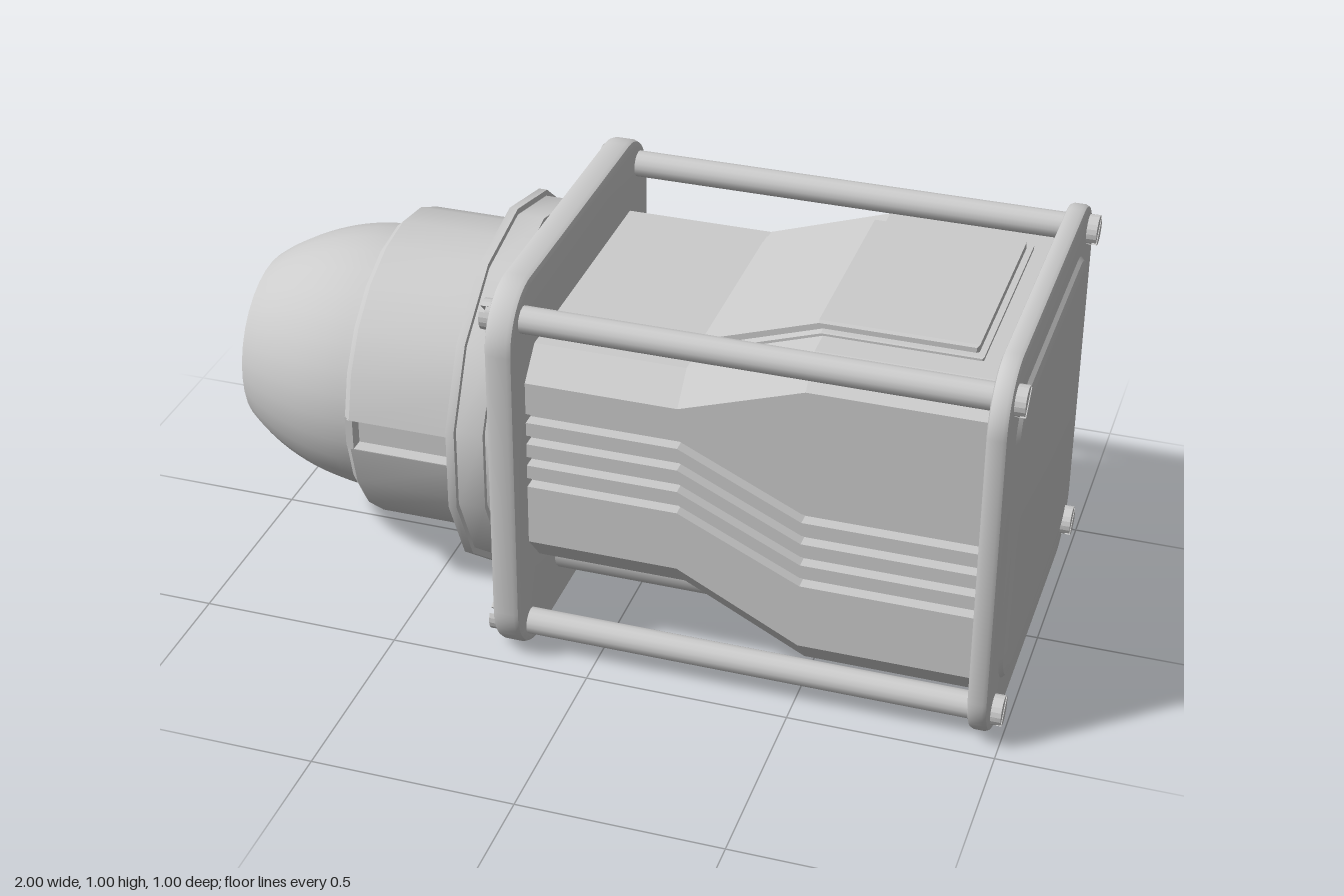
import * as THREE from 'three';
import { toCreasedNormals } from 'three/addons/utils/BufferGeometryUtils.js';

const MID = 0.5, ROD = 0.42;

export function createModel() {
  const model = new THREE.Group();
  const grey = new THREE.MeshStandardMaterial({ color: 0xcccccc, side: THREE.DoubleSide });

  function add(name, geometry, parent = model) {
    const mesh = new THREE.Mesh(geometry, grey);
    mesh.name = name;
    parent.add(mesh);
    return mesh;
  }

  function roundedSquare(half, r) {
    const s = new THREE.Shape(), c = half - r;
    s.absarc(c, c, r, 0, Math.PI / 2);
    s.absarc(-c, c, r, Math.PI / 2, Math.PI);
    s.absarc(-c, -c, r, Math.PI, Math.PI * 1.5);
    s.absarc(c, -c, r, Math.PI * 1.5, Math.PI * 2);
    s.closePath();
    return s;
  }

  // Square slab lying across the x axis, from x0 to x1, with bevelled rims
  function slab(name, half, r, x0, x1, bevel, bevelDepth) {
    const g = new THREE.ExtrudeGeometry(roundedSquare(half - bevel, r), {
      depth: x1 - x0 - 2 * bevelDepth, bevelSize: bevel, bevelThickness: bevelDepth,
      bevelSegments: 2, curveSegments: 6,
    });
    g.translate(0, 0, bevelDepth).rotateY(Math.PI / 2).translate(x0, MID, 0);
    add(name, toCreasedNormals(g, 0.5));
  }
  slab('endPlate', 0.5, 0.13, 0.925, 0.975, 0.014, 0.012);
  slab('endPanel', 0.4, 0.08, 0.945, 0.988, 0.034, 0.014);
  slab('frontPlate', 0.5, 0.13, -0.24, -0.17, 0.014, 0.014);

  // Bar along x
  function bar(name, r, x0, x1, y, z, sides = 16) {
    const g = new THREE.CylinderGeometry(r, r, x1 - x0, sides);
    g.rotateZ(Math.PI / 2).translate((x0 + x1) / 2, y, z);
    add(name, g);
  }

  // Slotted screw: a thin disc under two half heads; direction +1 faces +x
  function screw(x, y, z, direction) {
    const group = new THREE.Group();
    group.name = 'screw';
    const r = 0.037, a = 0.2;
    const base = add('screwBase', new THREE.CylinderGeometry(r, r, 0.012, 8), group);
    base.rotation.x = Math.PI / 2;
    base.position.z = 0.006;
    for (const turn of [0, Math.PI]) {
      const half = new THREE.Shape();
      half.absarc(0, 0, r, turn + a, turn + Math.PI - a);
      half.closePath();
      add('screwHalf', new THREE.ExtrudeGeometry(half, { depth: 0.025, bevelEnabled: false, curveSegments: 4 }), group);
    }
    group.rotation.set(0, direction * Math.PI / 2, Math.PI / 4, 'YXZ');
    group.position.set(x, y, z);
    model.add(group);
  }

  // Tie rods and their screws at the four corners
  for (const sy of [-1, 1]) for (const sz of [-1, 1]) {
    const y = MID + sy * ROD, z = sz * ROD;
    bar('tieRod', 0.033, -0.2, 0.95, y, z);
    screw(0.975, y, z, 1);
    screw(-0.24, y, z, -1);
  }

  // Two pipes below the raised part of the body
  for (const z of [-0.18, 0.18]) bar('lowerPipe', 0.065, -0.2, 0.5, 0.158, z, 20);

  // Body: chamfered cross-section with four side grooves, swept along x
  const stations = [
    { x: -0.18, bottom: 0.23, top: 0.82, drop: 0 },
    { x: 0.2, bottom: 0.23, top: 0.82, drop: 0 },
    { x: 0.5, bottom: 0.075, top: 0.92, drop: 0.142 },
    { x: 0.93, bottom: 0.075, top: 0.92, drop: 0.142 },
  ];
  function section({ x, bottom, top, drop }) {
    const side = [[0.35, bottom], [0.42, bottom + 0.08]];
    for (let i = 0; i < 4; i++) {
      const y = 0.478 + i * 0.059 - drop, h = 0.012;
      side.push([0.42, y - h], [0.388, y - h], [0.388, y + h], [0.42, y + h]);
    }
    side.push([0.42, top - 0.07], [0.35, top]);
    const mirrored = side.map(([z, y]) => [-z, y]).reverse();
    return [...side, ...mirrored].map(([z, y]) => [x, y, z]);
  }
  const loops = stations.map(section), verts = [];
  for (let i = 0; i < loops.length - 1; i++) {
    const p = loops[i], q = loops[i + 1], n = p.length;
    for (let j = 0; j < n; j++) {
      const k = (j + 1) % n;
      verts.push(...p[j], ...q[j], ...q[k], ...p[j], ...q[k], ...p[k]);
    }
  }
  const body = new THREE.BufferGeometry();
  body.setAttribute('position', new THREE.Float32BufferAttribute(verts, 3));
  body.computeVertexNormals();
  add('body', body);

  // Hatch on top that follows the bend of the body
  function hatch(name, x0, x1, halfWidth, lift, bevel) {
    const slope = 1 / 3, bend = 0.5 - lift * 0.5;
    const topAt = x => 0.82 + (Math.min(x, bend) - 0.2) * slope + lift;
    const s = new THREE.Shape();
    s.moveTo(x0, topAt(x0) - lift - 0.02);
    s.lineTo(x1, 0.88);
    s.lineTo(x1, topAt(x1));
    s.lineTo(bend, topAt(bend));
    s.lineTo(x0, topAt(x0));
    s.closePath();
    const g = new THREE.ExtrudeGeometry(s, {
      depth: 2 * (halfWidth - bevel), bevelSize: bevel, bevelThickness: bevel, bevelOffset: -bevel, bevelSegments: 1,
    });
    add(name, g.translate(0, 0, bevel - halfWidth));
  }
  hatch('hatchFrame', 0.2, 0.87, 0.28, 0.01, 0.003);
  hatch('hatchLid', 0.215, 0.855, 0.262, 0.032, 0.006);

  // Turned parts: profile points are [x, radius], running towards -x
  function turned(name, profile, sides, start = 0, length = Math.PI * 2) {
    const points = profile.map(([x, r]) => new THREE.Vector2(r, -x));
    const g = new THREE.LatheGeometry(points, sides, start, length);
    g.rotateZ(Math.PI / 2).translate(0, MID, 0);
    add(name, toCreasedNormals(g, 0.55));
  }
  turned('collar', [
    [-0.23, 0.45], [-0.262, 0.45], [-0.262, 0.44], [-0.27, 0.44], [-0.27, 0.455],
    [-0.337, 0.455], [-0.337, 0.47], [-0.358, 0.47], [-0.358, 0.37],
  ], 14, Math.PI / 2);

  // Barrel: two shells, leaving a gap at front and back for the slots
  const gap = 0.104, barrelR = 0.388;
  const barrelProfile = [[-0.33, barrelR], [-0.638, barrelR], [-0.655, 0.372], [-0.655, 0.31]];
  for (const start of [gap, Math.PI + gap])
    turned('barrelShell', barrelProfile, 10, start, Math.PI - 2 * gap);

  function block(name, x0, x1, z0, z1, side) {
    const g = new THREE.BoxGeometry(x1 - x0, 0.0806, z1 - z0);
    add(name, g.translate((x0 + x1) / 2, MID, side * (z0 + z1) / 2));
  }
  for (const side of [-1, 1]) {
    block('slotFloor', -0.64, -0.36, 0.3, 0.35, side);
    block('slotInnerEnd', -0.375, -0.33, 0.3, 0.386, side);
    block('slotOuterEnd', -0.645, -0.63, 0.3, 0.386, side);
    block('slotLip', -0.655, -0.64, 0.3, 0.372, side);
  }
  for (const z of [-1, 1]) for (const y of [-1, 1]) {
    const wall = add('slotWall', new THREE.BoxGeometry(0.28, 0.004, 0.086));
    wall.position.set(-0.5, MID + y * 0.041, z * 0.342);
  }

  // Nose dome with a recessed opening
  const curve = new THREE.SplineCurve([
    [-0.64, 0.337], [-0.72, 0.333], [-0.8, 0.318], [-0.88, 0.29], [-0.95, 0.254], [-1, 0.218],
  ].map(p => new THREE.Vector2(...p)));
  const nose = curve.getPoints(16).map(p => [p.x, p.y]);
  turned('noseDome', [...nose, [-1, 0.2], [-0.95, 0.2], [-0.95, 0]], 32);

  return model;
}
